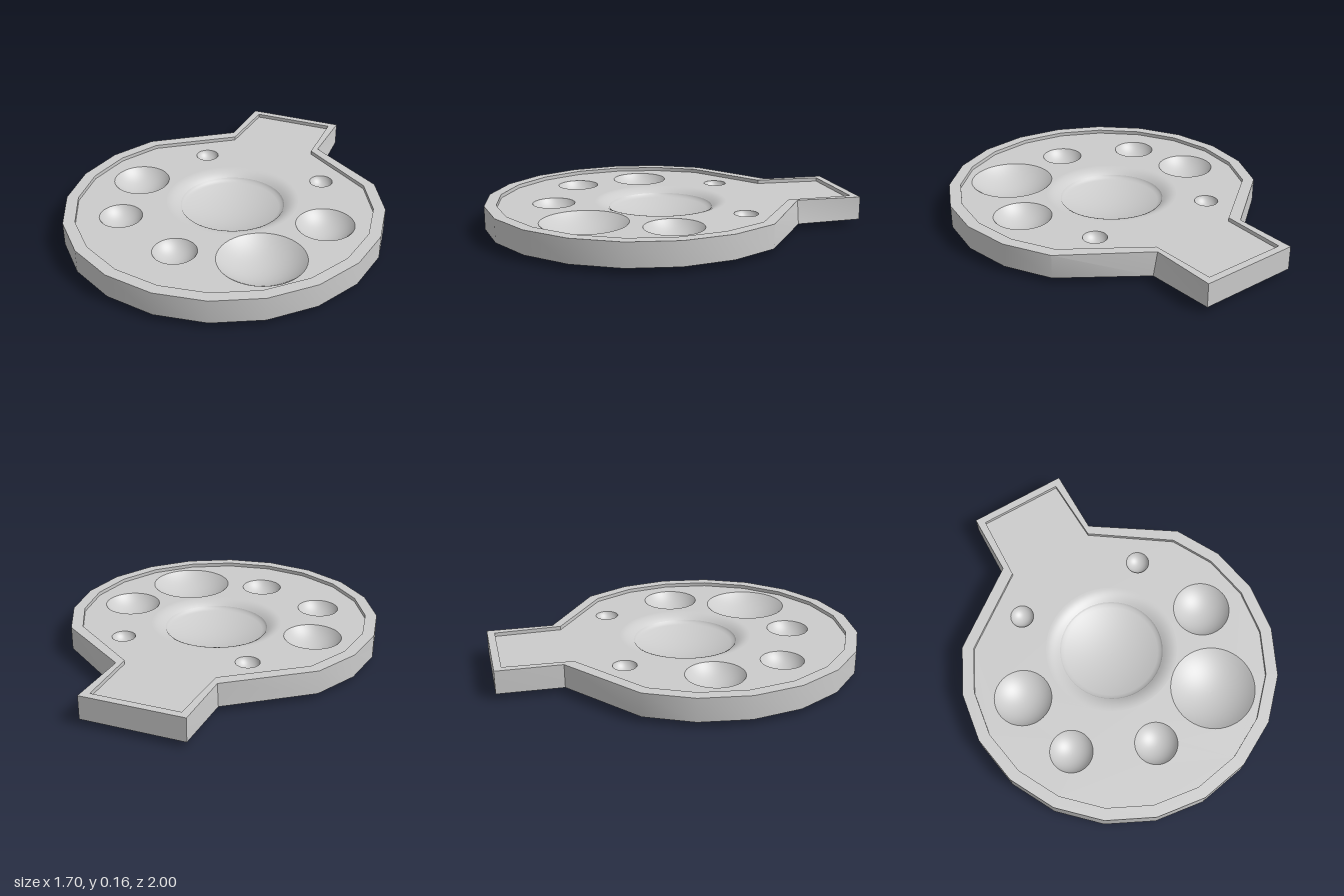
import * as THREE from 'three';
import { toCreasedNormals } from 'three/addons/utils/BufferGeometryUtils.js';

const BASE = 0.03, FLOOR = 0.135, TOP = 0.155;
const CENTRE_Z = 0.145;
const SEG = 48;

// Twenty-sided disc outline with a handle at the back (shape y = -z)
function outline(radius, joint, end) {
  const pts = [];
  for (let i = -7; i <= 7; i++) {
    const a = (i * Math.PI) / 10;
    pts.push(new THREE.Vector2(radius * Math.sin(a), -CENTRE_Z - radius * Math.cos(a)));
  }
  const add = ([x, z]) => pts.push(new THREE.Vector2(x, -z));
  [joint[1], end[1], end[0], joint[0]].forEach(add);
  return pts;
}

// Spherical-cap profile from the edge to the middle
function capProfile(r, depth, y) {
  const R = (r * r + depth * depth) / (2 * depth);
  const max = Math.asin(Math.min(1, r / R));
  const pts = [];
  for (let i = 0; i <= 14; i++) {
    const a = max * (1 - i / 14);
    pts.push(new THREE.Vector2(R * Math.sin(a), y - depth + R * (1 - Math.cos(a))));
  }
  return pts;
}

export function createModel() {
  const group = new THREE.Group();
  const material = new THREE.MeshStandardMaterial({ color: 0xcccccc });
  const thin = new THREE.MeshStandardMaterial({ color: 0xcccccc, side: THREE.DoubleSide });
  const add = (name, geometry, mat = material) => {
    const mesh = new THREE.Mesh(geometry, mat);
    mesh.name = name;
    group.add(mesh);
    return mesh;
  };

  const outer = outline(0.85, [[-0.275, -0.655], [0.27, -0.64]], [[-0.265, -1], [0.28, -1]]);
  const inner = outline(0.787, [[-0.245, -0.6], [0.242, -0.6]], [[-0.225, -0.96], [0.237, -0.96]]);

  // Outer wall and raised rim
  const rimShape = new THREE.Shape(outer);
  rimShape.holes.push(new THREE.Path(inner));
  const rim = new THREE.ExtrudeGeometry(rimShape, { depth: TOP - BASE, bevelEnabled: false });
  rim.rotateX(-Math.PI / 2).translate(0, BASE, 0);
  // Handle sides flare slightly at the bottom where they meet the disc
  const p = rim.attributes.position;
  for (let i = 0; i < p.count; i++) {
    const x = p.getX(i), z = p.getZ(i);
    if (p.getY(i) < 0.1 && z < -0.62 && z > -0.7) p.setX(i, x > 0 ? 0.295 : -0.28);
  }
  add('rim', toCreasedNormals(rim, 0.5));

  // Wells: x, z, radius, depth
  const wells = [
    [-0.54, 0.055, 0.153, 0.075],
    [0.55, 0.11, 0.153, 0.075],
    [-0.464, 0.437, 0.113, 0.065],
    [-0.062, 0.625, 0.113, 0.065],
    [-0.32, -0.355, 0.063, 0.045],
    [0.395, -0.31, 0.063, 0.045],
    [0.357, 0.522, 0.225, 0.085],
  ];
  const bowl = { x: 0.008, z: 0.052, dip: 0.355, r: 0.28, y: 0.107 };

  // Recessed floor with openings for the wells
  const floorShape = new THREE.Shape(inner);
  for (const [x, z, r] of [...wells, [bowl.x, bowl.z, bowl.dip]]) {
    floorShape.holes.push(new THREE.Path().absarc(x, -z, r, 0, Math.PI * 2, true));
  }
  const floor = new THREE.ShapeGeometry(floorShape, SEG / 2);
  add('floor', floor.rotateX(-Math.PI / 2).translate(0, FLOOR, 0));

  // Underside
  const under = new THREE.ShapeGeometry(new THREE.Shape(inner));
  add('underside', under.rotateX(-Math.PI / 2).translate(0, BASE, 0), thin);

  // Small and large wells
  for (const [x, z, r, depth] of wells) {
    add('well', new THREE.LatheGeometry(capProfile(r, depth, FLOOR), SEG), thin).position.set(x, 0, z);
  }

  // Central bowl in a soft dip of the floor
  const dip = [];
  for (let i = 0; i <= 8; i++) {
    const t = i / 8;
    dip.push(new THREE.Vector2(bowl.dip + (bowl.r - bowl.dip) * t, FLOOR - (FLOOR - bowl.y) * t * t));
  }
  add('bowlSurround', new THREE.LatheGeometry(dip, SEG), thin).position.set(bowl.x, 0, bowl.z);
  const bowlProfile = [new THREE.Vector2(bowl.r, bowl.y), ...capProfile(0.272, 0.055, bowl.y - 0.012)];
  add('centralBowl', new THREE.LatheGeometry(bowlProfile, SEG), thin).position.set(bowl.x, 0, bowl.z);

  // Square foot
  add('foot', new THREE.BoxGeometry(0.585, BASE, 0.515)).position.set(0.0125, BASE / 2, 0.0725);

  return group;
}
